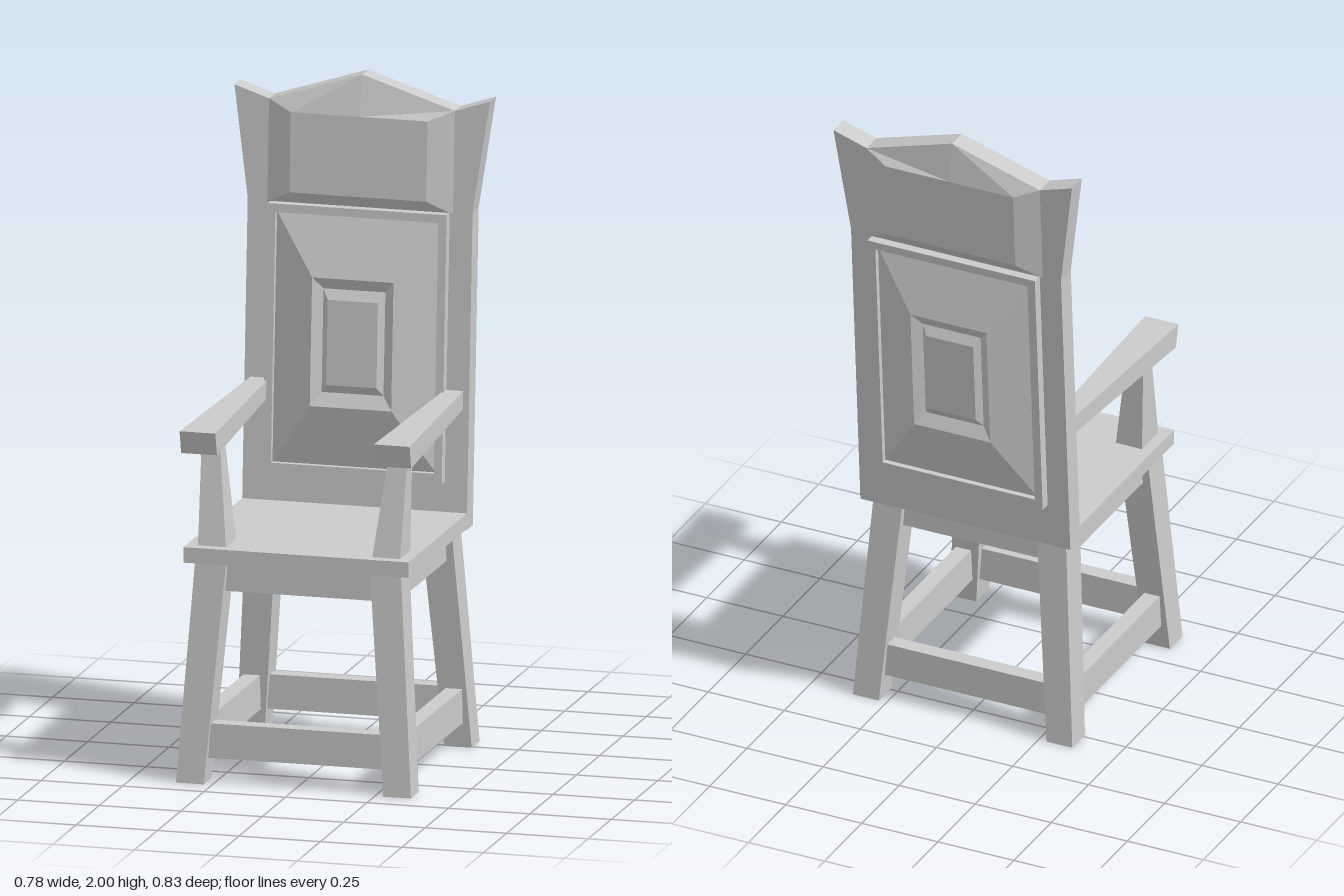
import * as THREE from 'three';

const material = new THREE.MeshStandardMaterial({ color: 0xcccccc, flatShading: true });
const lerp = THREE.MathUtils.lerp;

function addMesh(parent, name, geometry) {
  const flat = geometry.index ? geometry.toNonIndexed() : geometry;
  flat.computeVertexNormals();
  const mesh = new THREE.Mesh(flat, material);
  mesh.name = name;
  parent.add(mesh);
}

// Box whose unit corners (u, v, w) are moved by a rule
function block(rule) {
  const g = new THREE.BoxGeometry(1, 1, 1);
  const p = g.attributes.position;
  for (let i = 0; i < p.count; i++) {
    p.setXYZ(i, ...rule(p.getX(i) + 0.5, p.getY(i) + 0.5, p.getZ(i) + 0.5));
  }
  return g;
}

// Plain box from its limits
const slab = (x0, x1, y0, y1, z0, z1) =>
  block((u, v, w) => [lerp(x0, x1, u), lerp(y0, y1, v), lerp(z0, z1, w)]);

// Upright tapered post; each end is [centreX, y, centreZ, halfX, halfZ]
const post = (a, b) => block((u, v, w) => [
  lerp(a[0], b[0], v) + (2 * u - 1) * lerp(a[3], b[3], v),
  lerp(a[1], b[1], v),
  lerp(a[2], b[2], v) + (2 * w - 1) * lerp(a[4], b[4], v),
]);

// The backrest leans: depth of its middle plane at height y
const HALF = 0.033;
const lean = (y) => -0.273 - (y - 0.66) * 0.0659;

// Stepped relief on one face of the backrest (side 1 front, -1 back).
// Each ring is { pts: counter-clockwise [x, y] outline, out: height above the face }
function relief(rings, side) {
  const verts = [];
  const at = ([x, y], out) => [x, y, lean(y) + side * (HALF + out)];
  const tri = (a, b, c) => verts.push(...(side > 0 ? [a, b, c] : [a, c, b]).flat());
  const n = rings[0].pts.length;
  for (let r = 0; r + 1 < rings.length; r++) {
    const lo = rings[r], hi = rings[r + 1];
    for (let i = 0; i < n; i++) {
      const j = (i + 1) % n;
      const a = at(lo.pts[i], lo.out), b = at(lo.pts[j], lo.out);
      const c = at(hi.pts[j], hi.out), d = at(hi.pts[i], hi.out);
      tri(a, b, c);
      tri(a, c, d);
    }
  }
  const top = rings[rings.length - 1];
  for (let i = 1; i + 1 < n; i++) {
    tri(at(top.pts[0], top.out), at(top.pts[i], top.out), at(top.pts[i + 1], top.out));
  }
  const g = new THREE.BufferGeometry();
  g.setAttribute('position', new THREE.Float32BufferAttribute(verts, 3));
  return g;
}

const rect = (hx, y0, y1, out) => ({ pts: [[-hx, y0], [hx, y0], [hx, y1], [-hx, y1]], out });
const gable = (hx, y0, y1, peak, out) =>
  ({ pts: [[-hx, y0], [hx, y0], [hx, y1], [0, peak], [-hx, y1]], out });

export function createModel() {
  const chair = new THREE.Group();
  chair.name = 'highBackArmchair';

  addMesh(chair, 'seat', slab(-0.345, 0.345, 0.663, 0.71, -0.25, 0.388));

  // Splayed legs
  for (const s of [1, -1]) {
    addMesh(chair, 'frontLeg', post(
      [s * 0.318, 0, 0.372, 0.0425, 0.0425], [s * 0.268, 0.67, 0.317, 0.0475, 0.0475]));
    addMesh(chair, 'rearLeg', post(
      [s * 0.318, 0, -0.282, 0.0425, 0.0425], [s * 0.268, 0.67, -0.228, 0.0475, 0.0475]));
  }

  // Low stretchers and the aprons under the seat: [name, y0, y1, x, front z, rear z]
  const T = 0.025;
  for (const [name, y0, y1, x, zf, zr] of [
    ['stretcher', 0.075, 0.18, 0.31, 0.362, -0.271],
    ['apron', 0.575, 0.665, 0.272, 0.32, -0.232],
  ]) {
    for (const s of [1, -1]) {
      addMesh(chair, name, slab(s * x - T, s * x + T, y0, y1, zr, zf));
    }
    for (const z of [zf, zr]) {
      addMesh(chair, name, slab(-x, x, y0, y1, z - T, z + T));
    }
  }

  // Armrests widen toward the front, each on a tapered post
  for (const s of [1, -1]) {
    addMesh(chair, 'armPost', post(
      [s * 0.267, 0.705, 0.3, 0.043, 0.055], [s * 0.288, 1.01, 0.268, 0.028, 0.026]));
    addMesh(chair, 'armrest', block((u, v, w) => [
      s * 0.298 + (2 * u - 1) * lerp(0.028, 0.055, w),
      lerp(lerp(1.02, 1.075, v), lerp(0.995, 1.065, v), w),
      lerp(-0.275, lerp(0.385, 0.402, v), w),
    ]));
  }

  // Leaning backrest with flared, peaked crest
  const outline = new THREE.Shape([
    [-0.345, 0.66], [0.345, 0.66], [0.345, 1.61], [0.392, 1.945], [0.285, 1.91],
    [0, 2], [-0.285, 1.91], [-0.392, 1.945], [-0.345, 1.61],
  ].map(([x, y]) => new THREE.Vector2(x, y)));
  const board = new THREE.ExtrudeGeometry(outline, { depth: 2 * HALF, bevelEnabled: false });
  const p = board.attributes.position;
  for (let i = 0; i < p.count; i++) p.setZ(i, p.getZ(i) - HALF + lean(p.getY(i)));
  addMesh(chair, 'backrest', board);

  // Raised crest field and framed panel, repeated on both faces
  for (const side of [1, -1]) {
    addMesh(chair, 'crestField', relief([
      gable(0.285, 1.6, 1.91, 2, 0),
      gable(0.21, 1.64, 1.88, 1.88, 0.028),
    ], side));
    addMesh(chair, 'backPanel', relief([
      rect(0.275, 0.8, 1.605, 0),
      rect(0.275, 0.8, 1.605, 0.033),
      rect(0.25, 0.83, 1.58, 0.033),
      rect(0.25, 0.83, 1.58, 0.015),
      rect(0.125, 1.015, 1.4, 0.065),
      rect(0.095, 1.055, 1.365, 0.045),
      rect(0.077, 1.08, 1.335, 0.06),
    ], side));
  }

  return chair;
}
